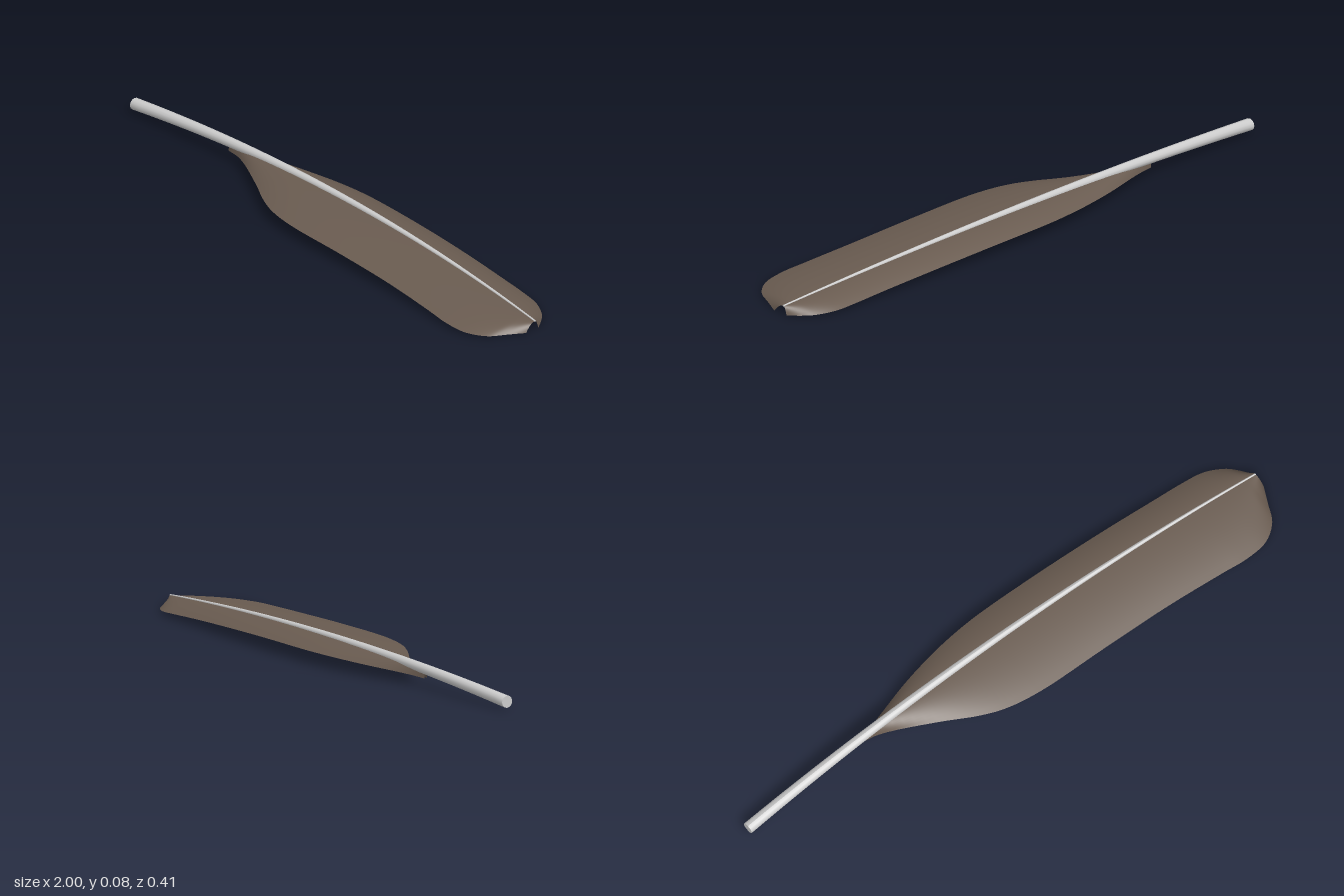
import * as THREE from 'three';

const shaftMaterial = new THREE.MeshStandardMaterial({ color: 0xcccccc });
const vaneMaterial = new THREE.MeshStandardMaterial({ color: 0x695b50, side: THREE.DoubleSide });

// Centre line of the shaft: an arch in y and a gentle sweep in z
const shaftY = (x) => 0.072 - 0.043 * x * x;
const shaftZ = (x) => -0.1 + 0.0725 * x + 0.0315 * x * x;

// Outline of the blade: x, z of back edge, z of front edge
const outline = new THREE.CatmullRomCurve3([
  [-0.55, -0.136, -0.126], [-0.48, -0.146, -0.108], [-0.31, -0.183, -0.015],
  [-0.2, -0.199, 0.053], [-0.12, -0.206, 0.09], [0, -0.208, 0.118],
  [0.25, -0.19, 0.14], [0.5, -0.165, 0.162], [0.7, -0.141, 0.187],
  [0.8, -0.129, 0.2], [0.88, -0.114, 0.194], [0.94, -0.082, 0.155],
  [0.97, -0.052, 0.1], [1, -0.01, 0.043],
].map((p) => new THREE.Vector3(...p)));

// Smooth surface from a grid of points; at(u, v) fills in each point
function gridSurface(rows, cols, at) {
  const positions = [], indices = [];
  for (let i = 0; i <= rows; i++) {
    for (let j = 0; j <= cols; j++) positions.push(...at(i / rows, j / cols));
  }
  for (let i = 0; i < rows; i++) {
    for (let j = 0; j < cols; j++) {
      const a = i * (cols + 1) + j, b = a + cols + 1;
      indices.push(a, a + 1, b, b, a + 1, b + 1);
    }
  }
  const geometry = new THREE.BufferGeometry();
  geometry.setAttribute('position', new THREE.Float32BufferAttribute(positions, 3));
  geometry.setIndex(indices);
  geometry.computeVertexNormals();
  return geometry;
}

// One vane, drooping from the shaft to its outer edge
function makeVane(name, side) {
  const geometry = gridSurface(78, 10, (u, v) => {
    const p = outline.getPoint(u);
    const z = shaftZ(p.x);
    const edge = side > 0 ? p.z : p.y;
    // the back vane runs outwards in reverse so both face up
    const t = side > 0 ? v : 1 - v;
    return [p.x, shaftY(p.x) - 0.029 * t * t, z + (edge - z) * t];
  });
  const mesh = new THREE.Mesh(geometry, vaneMaterial);
  mesh.name = name;
  return mesh;
}

// Tapered round shaft, its cylinder bent along the centre line
function makeShaft() {
  const geometry = new THREE.CylinderGeometry(1, 1, 2, 12, 48);
  const pos = geometry.attributes.position;
  for (let i = 0; i < pos.count; i++) {
    const x = pos.getY(i);
    const r = x < -0.5 ? 0.016 - 0.008 * (x + 0.5) : 0.016 - 0.0087 * (x + 0.5);
    pos.setXYZ(i, x, shaftY(x) + r * pos.getZ(i), shaftZ(x) + r * pos.getX(i));
  }
  geometry.computeVertexNormals();
  const mesh = new THREE.Mesh(geometry, shaftMaterial);
  mesh.name = 'shaft';
  return mesh;
}

export function createModel() {
  const feather = new THREE.Group();
  feather.name = 'feather';
  feather.add(makeShaft(), makeVane('frontVane', 1), makeVane('backVane', -1));
  return feather;
}
